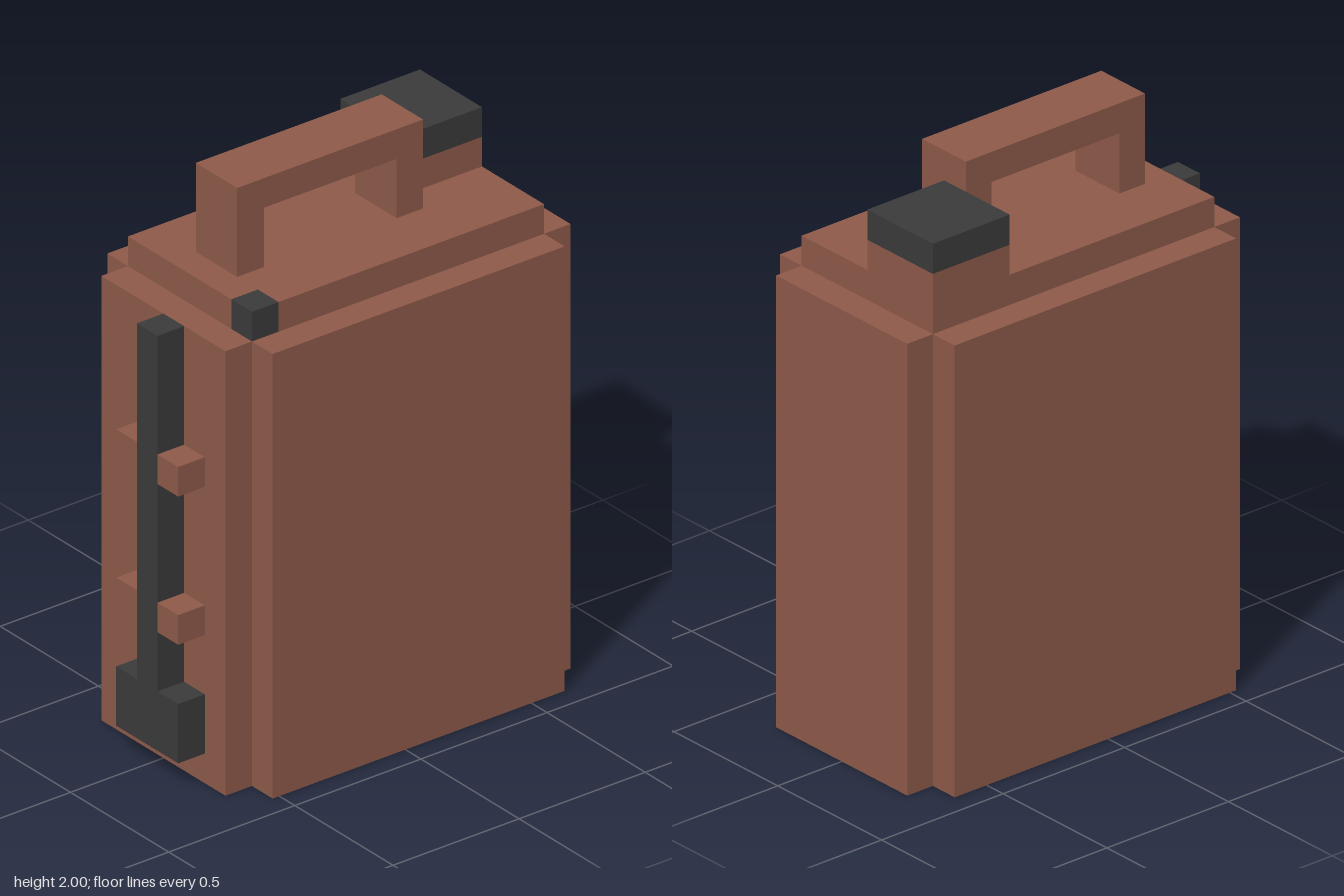
import * as THREE from 'three';

const U = 2 / 19; // one block

export function createModel() {
  const model = new THREE.Group();
  model.name = 'canister';
  const brown = new THREE.MeshStandardMaterial({ name: 'rusty brown', color: 0x8f5b4a });
  const dark = new THREE.MeshStandardMaterial({ name: 'charcoal', color: 0x3b3b3b });

  function add(name, geometry, material) {
    const mesh = new THREE.Mesh(geometry, material);
    mesh.name = name;
    model.add(mesh);
  }

  // Box between two corners, given in blocks
  function box(name, material, [x0, x1], [y0, y1], [z0, z1]) {
    const g = new THREE.BoxGeometry((x1 - x0) * U, (y1 - y0) * U, (z1 - z0) * U);
    g.translate((x0 + x1) / 2 * U, (y0 + y1) / 2 * U, (z0 + z1) / 2 * U);
    add(name, g, material);
  }

  // Outline in blocks, extruded along z
  function extrude(points, depth) {
    const shape = new THREE.Shape(points.map(([x, y]) => new THREE.Vector2(x * U, y * U)));
    return new THREE.ExtrudeGeometry(shape, { depth: depth * U, bevelEnabled: false });
  }

  // Body with notched corners
  const body = extrude([
    [-5, -4], [6, -4], [6, -3], [7, -3], [7, 3], [6, 3],
    [6, 4], [-5, 4], [-5, 3], [-6, 3], [-6, -3], [-5, -3],
  ], 15).rotateX(-Math.PI / 2);
  add('body', body, brown);

  // Raised top with a dark corner valve
  const top = extrude([[-5, -2], [-4, -2], [-4, -3], [6, -3], [6, 3], [-5, 3]], 1)
    .rotateX(-Math.PI / 2).translate(0, 15 * U, 0);
  add('topPlate', top, brown);
  box('cornerValve', dark, [-5, -4], [15, 16], [2, 3]);

  // Carrying handle
  const handle = extrude([
    [-4, 16], [-3, 16], [-3, 18], [2, 18], [2, 16], [3, 16], [3, 19], [-4, 19],
  ], 2).translate(0, 0, -U);
  add('handle', handle, brown);

  // Filler neck and cap
  box('fillerNeck', brown, [3, 6], [16, 17], [-3, 0]);
  box('fillerCap', dark, [3, 6], [17, 18], [-3, 0]);

  // Hose on the side, with its foot and clips
  box('hose', dark, [-7, -6], [3, 15], [0, 1]);
  box('hoseFoot', dark, [-7, -6], [1, 3], [-1, 2]);
  for (const y of [5, 10]) {
    for (const z of [-1, 1]) box('hoseClip', brown, [-7, -6], [y, y + 1], [z, z + 1]);
  }
  return model;
}
